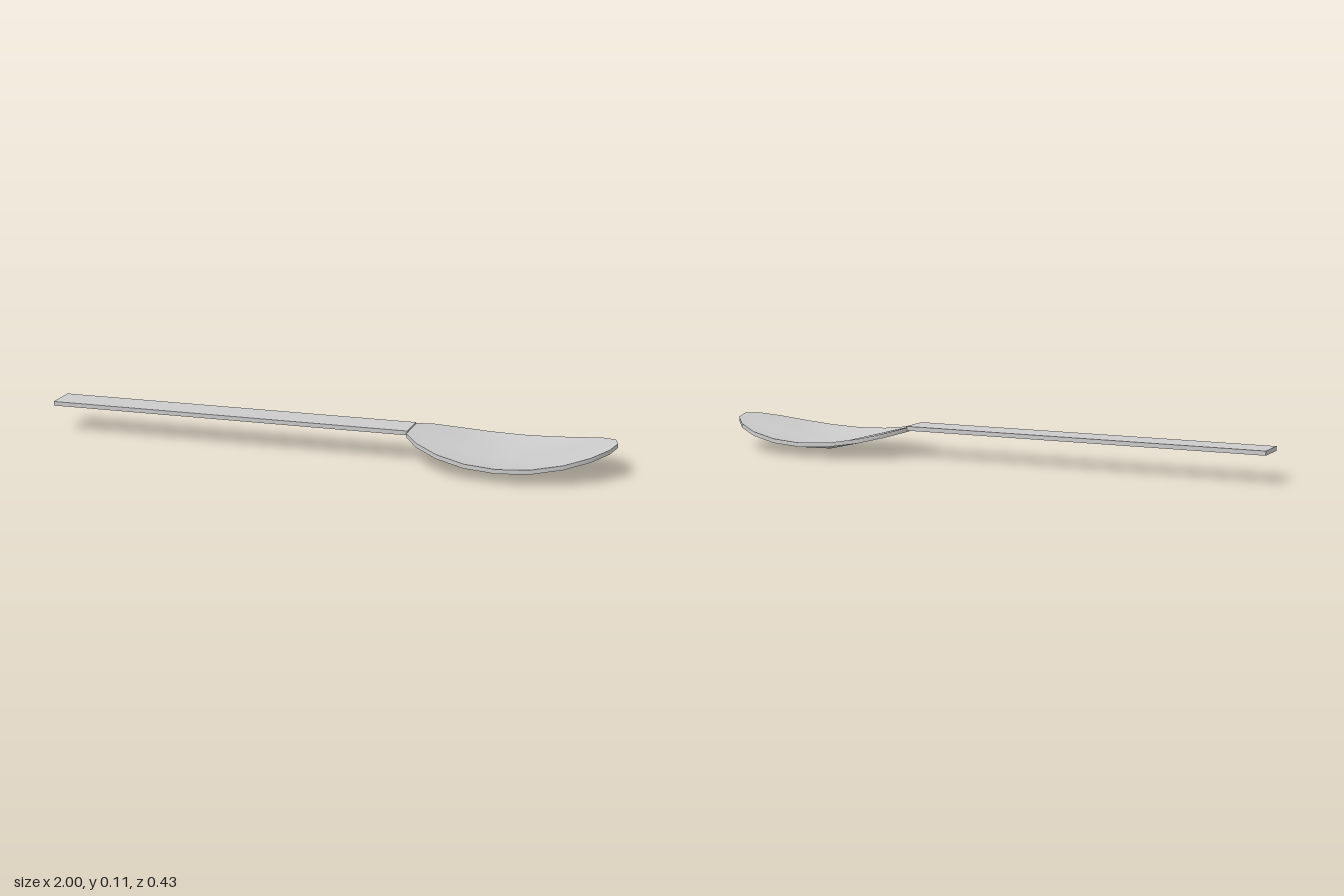
import * as THREE from 'three';
import { toCreasedNormals } from 'three/addons/utils/BufferGeometryUtils.js';

const THICK = 0.015;

// Shallow oval bowl: a thin disc whose centre is pushed down and whose
// rim rises towards the tip and the handle.
function bowlGeometry() {
  const geo = new THREE.CylinderGeometry(1, 1, THICK, 20, 1);
  const pos = geo.attributes.position;
  for (let i = 0; i < pos.count; i++) {
    const x = pos.getX(i), z = pos.getZ(i);
    const onRim = Math.hypot(x, z) > 0.5;
    const lift = onRim ? 0.035 + 0.059 * x * x : 0;
    pos.setXYZ(i, 0.64 + 0.36 * x, pos.getY(i) + THICK / 2 + lift, 0.215 * z);
  }
  return toCreasedNormals(geo, 0.7);
}

export function createModel() {
  const group = new THREE.Group();
  group.name = 'spoon';
  const material = new THREE.MeshStandardMaterial({ color: 0xcccccc });

  const bowl = new THREE.Mesh(bowlGeometry(), material);
  bowl.name = 'bowl';

  // Flat straight handle, overlapping the near end of the bowl
  const handle = new THREE.Mesh(new THREE.BoxGeometry(1.3, THICK, 0.116), material);
  handle.name = 'handle';
  handle.position.set(-0.35, 0.101, 0);

  group.add(bowl, handle);
  return group;
}
